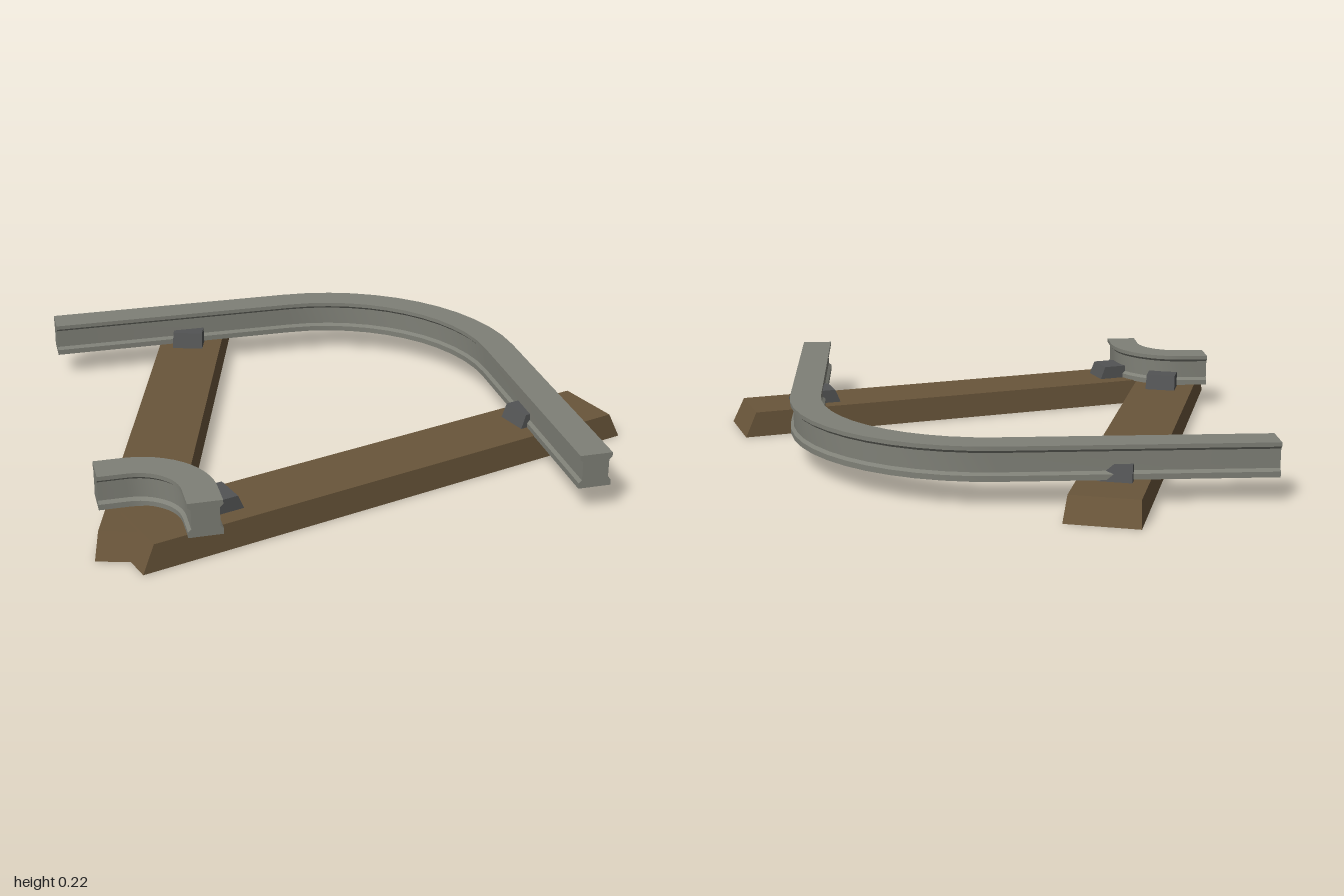
import * as THREE from 'three';
import { toCreasedNormals } from 'three/addons/utils/BufferGeometryUtils.js';

const wood = new THREE.MeshStandardMaterial({ name: 'brown wood', color: 0x69553a });
const steel = new THREE.MeshStandardMaterial({ name: 'grey rail steel', color: 0x7f8077 });
const iron = new THREE.MeshStandardMaterial({ name: 'dark clip iron', color: 0x525354 });

// Half of the rail section (offset from centreline, height), mirrored into a full loop
const half = [[0.058, 0.092], [0.058, 0.112], [0.047, 0.122], [0.047, 0.19], [0.058, 0.2], [0.058, 0.215]];
const section = [...half, ...half.map(([u, y]) => [-u, y]).reverse()].map(([u, y]) => new THREE.Vector2(u, y));

// Rail: straight, quarter turn about (cx, cz), straight
function railGeometry(cx, cz, radius, straight, segments) {
  const stations = [{ x: cx - straight, z: cz, a: 0 }];
  for (let i = 0; i <= segments; i++) stations.push({ x: cx, z: cz, a: (i / segments) * Math.PI / 2 });
  stations.push({ x: cx, z: cz + straight, a: Math.PI / 2 });

  const rings = stations.map(({ x, z, a }) => section.map((p) => [
    x + Math.sin(a) * (radius + p.x), p.y, z - Math.cos(a) * (radius + p.x)]));
  const pos = [];
  const tri = (a, b, c) => pos.push(...a, ...b, ...c);
  for (let s = 0; s + 1 < rings.length; s++) {
    for (let i = 0; i < section.length; i++) {
      const j = (i + 1) % section.length;
      const A = rings[s], B = rings[s + 1];
      tri(A[i], A[j], B[j]);
      tri(A[i], B[j], B[i]);
    }
  }
  // End caps
  const first = rings[0], last = rings[rings.length - 1];
  for (const [a, b, c] of THREE.ShapeUtils.triangulateShape(section, [])) {
    tri(last[a], last[b], last[c]);
    tri(first[c], first[b], first[a]);
  }
  const geometry = new THREE.BufferGeometry();
  geometry.setAttribute('position', new THREE.Float32BufferAttribute(pos, 3));
  return toCreasedNormals(geometry, 0.5);
}

// Box standing on its base whose top is drawn in at the ends and sides
function taperedBox(length, height, width, endInset, sideInset) {
  const geometry = new THREE.BoxGeometry(length, height, width).translate(0, height / 2, 0);
  const p = geometry.attributes.position;
  for (let i = 0; i < p.count; i++) {
    if (p.getY(i) < height / 2) continue;
    p.setX(i, p.getX(i) - Math.sign(p.getX(i)) * endInset);
    p.setZ(i, p.getZ(i) - Math.sign(p.getZ(i)) * sideInset);
  }
  geometry.computeVertexNormals();
  return geometry;
}

export function createModel() {
  const model = new THREE.Group();
  model.name = 'curvedTrack';
  const add = (name, geometry, material, x = 0, y = 0, z = 0, turn = 0) => {
    const mesh = new THREE.Mesh(geometry, material);
    mesh.name = name;
    mesh.position.set(x, y, z);
    mesh.rotation.y = turn;
    model.add(mesh);
  };

  // Two sleepers meeting at the inner corner, each carrying two clips
  const tilt = 0.286;
  const sleepers = [
    { name: 'front', x: 0.025, z: 0.59, height: 0.095, turn: tilt, clips: [[0.66, 0.397], [-0.61, 0.776]] },
    { name: 'back', x: -0.607, z: -0.027, height: 0.087, turn: Math.PI / 2 - tilt, clips: [[-0.427, -0.665], [-0.788, 0.609]] },
  ];
  for (const { name, x, z, height, turn, clips } of sleepers) {
    add(name + 'Sleeper', taperedBox(1.94, height, 0.262, 0.045, 0.008), wood, x, 0, z, turn);
    clips.forEach(([cx, cz], i) => add(name + (i ? 'InnerClip' : 'OuterClip'),
      taperedBox(0.185, 0.145 - height, 0.12, 0.02, 0.002), iron, cx, height, cz, turn));
  }

  // Concentric-style outer and inner rails
  add('outerRail', railGeometry(-0.015, 0, 0.686, 0.953, 12), steel);
  add('innerRail', railGeometry(-0.87, 0.855, 0.213, 0.098, 12), steel);
  return model;
}
